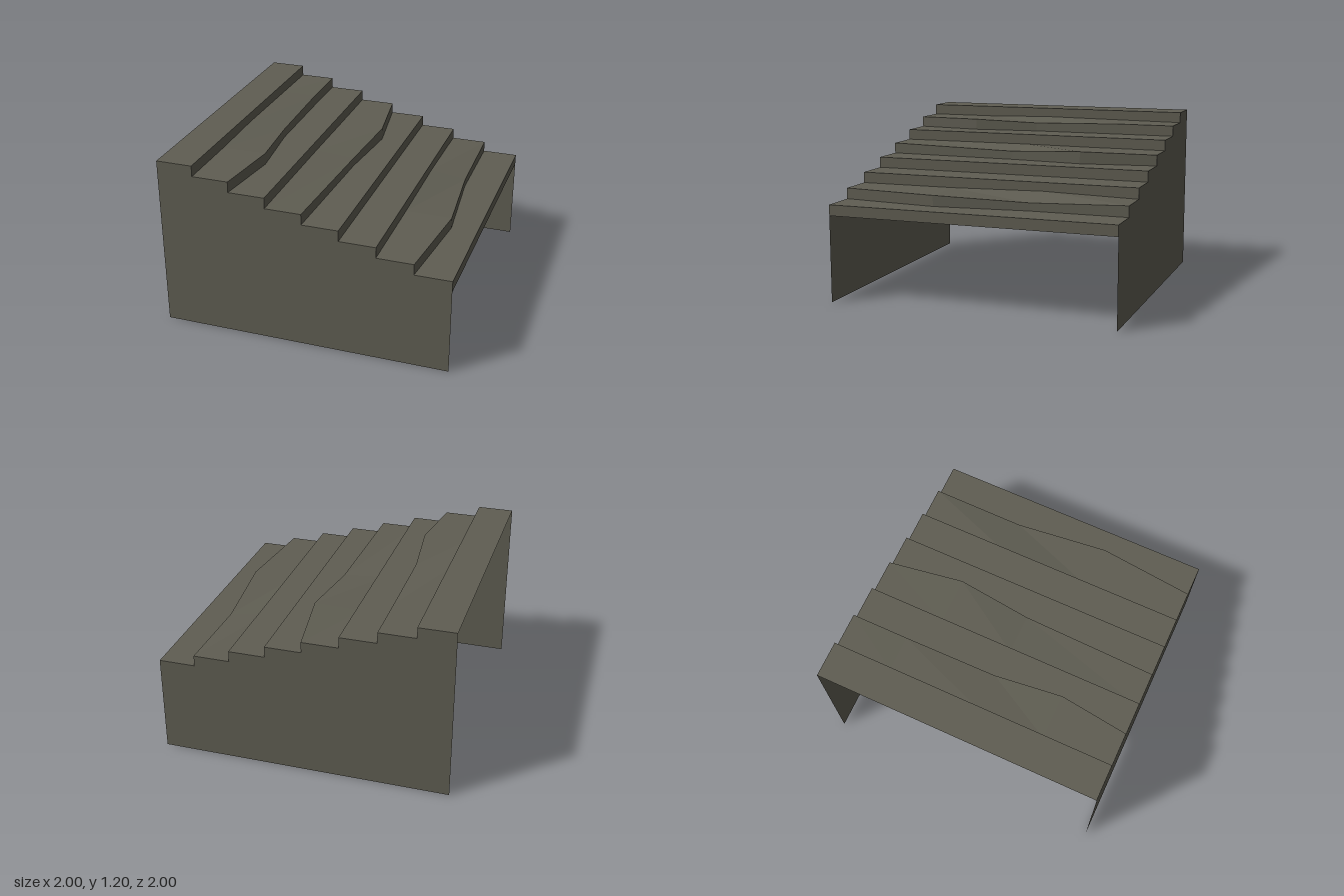
import * as THREE from 'three';

const STEPS = 8, RUN = 0.25, DROP = 0.075, TOP = 1.2;

// Worn boards: [z, bulge in x, inner edge lift, outer edge lift], from front to back
const STRAIGHT = [[1, 0, 0, 0], [-1, 0, 0, 0]];
const WARPED = {
  1: [[1, 0, 0, 0], [0.52, 0.06, 0, 0.003], [0.05, 0.01, 0.01, -0.014], [-0.6, 0, 0.004, 0], [-1, 0, 0, 0]],
  3: [[1, 0, 0, 0], [0.05, 0.03, 0.003, -0.016], [-0.47, 0.08, 0, 0.01], [-1, 0, 0, 0]],
  6: [[1, 0, 0, 0], [0.32, 0.07, 0.002, 0], [-0.34, 0.005, 0.015, -0.021], [-1, 0, 0, 0]],
};

// Faceted strip stretched between two rows of points
function strip(a, b) {
  const p = [];
  for (let i = 0; i < a.length - 1; i++) {
    p.push(...a[i], ...b[i], ...b[i + 1], ...a[i], ...b[i + 1], ...a[i + 1]);
  }
  const g = new THREE.BufferGeometry();
  g.setAttribute('position', new THREE.Float32BufferAttribute(p, 3));
  g.computeVertexNormals();
  return g;
}

export function createModel() {
  const model = new THREE.Group();
  model.name = 'steppedRoof';
  const wood = new THREE.MeshStandardMaterial({ color: 0x5f5d52, flatShading: true, side: THREE.DoubleSide });
  wood.name = 'weathered wood';
  const add = (geometry, name) => {
    const mesh = new THREE.Mesh(geometry, wood);
    mesh.name = name;
    model.add(mesh);
    return mesh;
  };

  // Overlapping boards, each with a flat top and a short vertical lip
  const profile = new THREE.Shape().moveTo(-1, 0);
  for (let i = 0; i < STEPS; i++) {
    const x0 = -1 + i * RUN, x1 = x0 + RUN, y = TOP - i * DROP;
    const rows = WARPED[i] ?? STRAIGHT;
    const inner = rows.map(([z, , lift]) => [x0, y + lift, z]);
    const outer = rows.map(([z, dx, , lift]) => [x1 + dx, y + lift, z]);
    const foot = rows.map(([z, dx]) => [x1 + dx, y - DROP, z]);
    add(strip(inner, outer), 'boardTop' + (i + 1));
    add(strip(outer, foot), 'boardLip' + (i + 1));
    profile.lineTo(x0, y).lineTo(x1, y);
  }
  profile.lineTo(1, 0).closePath();

  // Stepped end walls, front and back
  const wall = new THREE.ShapeGeometry(profile);
  add(wall, 'frontWall').position.z = 1;
  const mirrored = wall.clone().scale(-1, 1, 1).rotateY(Math.PI);
  // The mirrored copy needs its corner order reversed to face backwards
  mirrored.index.array.reverse();
  const back = new THREE.BufferGeometry();
  back.setAttribute('position', mirrored.attributes.position);
  back.setIndex(Array.from(wall.index.array).reverse());
  back.computeVertexNormals();
  add(back, 'backWall').position.z = -1;

  return model;
}
